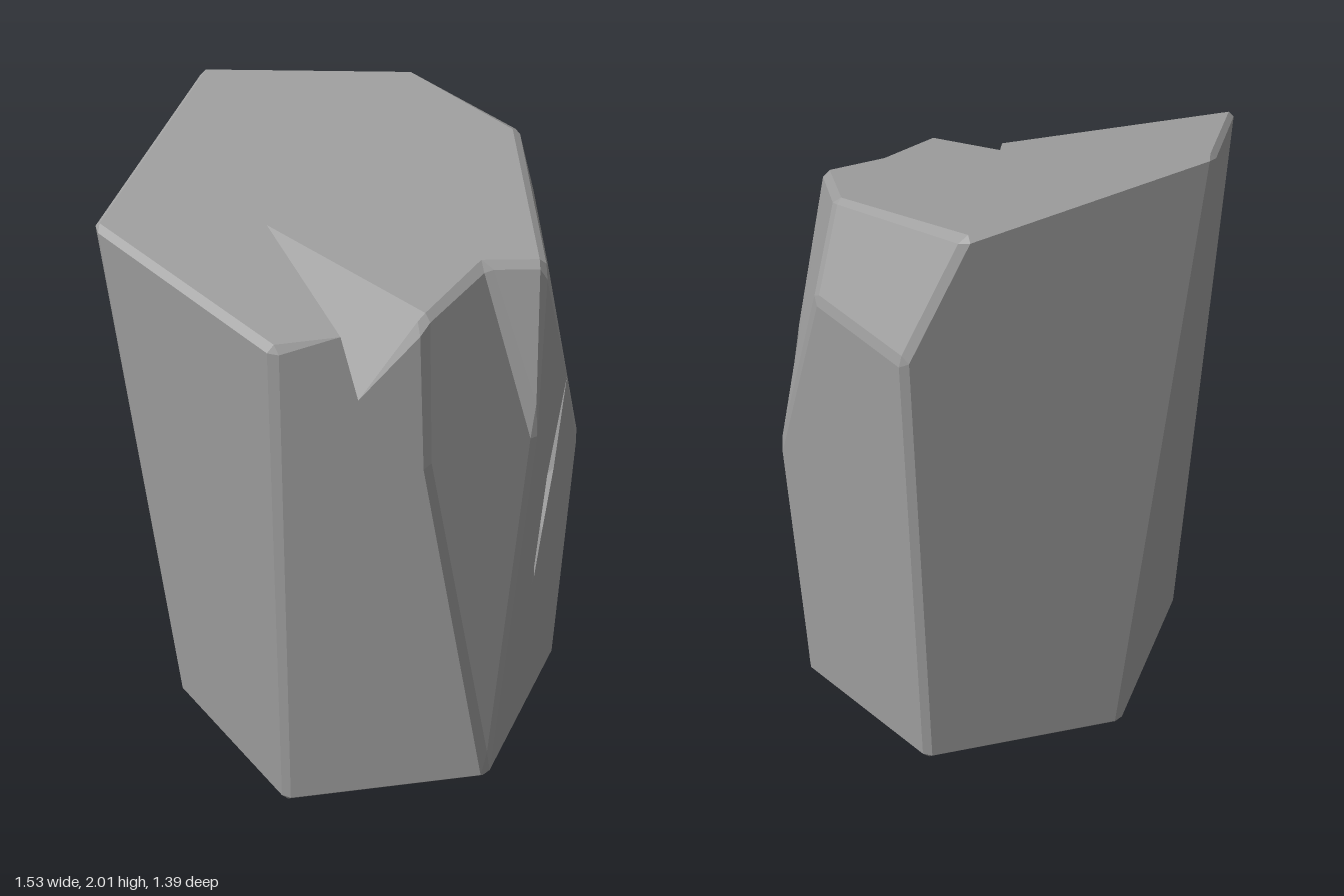
import * as THREE from 'three';

// Corner points of the stone; a fourth number 0 keeps that corner sharp
const corners = {
  // foot
  G: [-0.43, 0, 0.49], F: [0.2, 0, 0.645], K: [0.72, 0.045, 0.17],
  J: [0.61, 0.085, -0.46], I: [0, 0.075, -0.62], H: [-0.54, 0.045, -0.16],
  // slanted top
  A: [-0.775, 1.79, -0.02], B: [-0.46, 1.565, 0.535], D: [-0.19, 2.015, -0.69],
  E: [0.545, 1.93, -0.65], M: [0.655, 1.865, -0.12], N: [0.41, 1.66, 0.49],
  // right shoulder
  Q: [0.77, 1.62, -0.2], R: [0.715, 1.6, -0.61], L: [0.735, 0.9, 0.22],
  // front bulge and chipped top edge
  S: [-0.06, 1.2, 0.687], P: [-0.05, 1.625, 0.64], T: [0.345, 1.17, 0.62], U: [0.23, 1.675, 0.455],
  // wedge split in the top
  C: [-0.25, 1.71, -0.01, 0], a: [-0.27, 1.58, 0.56, 0], W: [-0.235, 1.4, 0.6, 0],
  // slit in the front right face
  1: [0.585, 1.52, 0.22, 0], 2: [0.58, 1.22, 0.37, 0], 3: [0.46, 0.95, 0.48, 0],
  4: [0.43, 0.57, 0.475, 0], 5: [0.465, 0.56, 0.43, 0], 6: [0.475, 0.73, 0.445, 0],
  7: [0.53, 0.93, 0.405, 0], 8: [0.605, 1.2, 0.325, 0], d: [0.475, 0.86, 0.38, 0],
};

// Faces as corner loops, counter-clockwise from outside
const faces = [
  'GHIJKF', 'ABaCPUNMED',                        // underside and top
  'KJRQL', 'QREM', 'JIDER', 'IHAD', 'HGBA',      // right, back and left
  'GFSPWaB', 'FTUPS', 'UTN',                     // front and chip
  'NTFKL82765432', 'N218LQM', '128',             // front right
  '23d', '34d', '45d', '56d', '67d', '72d',      // slit
  'CaW', 'CWP',                                  // split walls
];

const at = (k) => new THREE.Vector3(...corners[k].slice(0, 3));

// Mean normal of a loop, its length twice the area
function loopNormal(loop) {
  const n = new THREE.Vector3();
  loop.forEach((p, i) => n.add(p.clone().sub(loop[0]).cross(
    loop[(i + 1) % loop.length].clone().sub(loop[0]))));
  return n;
}

// Chamfers every edge: inset each face, bridge the edges, cap the corners
function chamferedGeometry(width) {
  const positions = [];
  const normals = [];
  const emit = (loop) => {
    const n = loopNormal(loop);
    if (n.length() < 1e-7) return;
    n.normalize();
    const helper = Math.abs(n.y) < 0.8 ? new THREE.Vector3(0, 1, 0) : new THREE.Vector3(0, 0, 1);
    const u = helper.cross(n).normalize();
    const v = n.clone().cross(u);
    const flat = loop.map((p) => new THREE.Vector2(p.dot(u), p.dot(v)));
    for (const i of THREE.ShapeUtils.triangulateShape(flat, []).flat()) {
      positions.push(...loop[i].toArray());
      normals.push(...n.toArray());
    }
  };

  const halfEdges = new Map();
  const insets = faces.map((face, f) => {
    const normal = loopNormal([...face].map(at)).normalize();
    return [...face].map((k, i) => {
      const next = face[(i + 1) % face.length];
      const prev = face[(i + face.length - 1) % face.length];
      halfEdges.set(k + next, { f, i, prev });
      const p = at(k);
      if (corners[k][3] === 0) return p;
      const e1 = at(next).sub(p);
      const e2 = at(prev).sub(p);
      const reach = 0.2 * Math.min(e1.length(), e2.length());
      e1.normalize();
      e2.normalize();
      const sine = e1.clone().cross(e2).dot(normal);
      const step = Math.min(width / Math.max(Math.abs(sine), 0.05), reach);
      return p.addScaledVector(e1.add(e2), Math.sign(sine) * step);
    });
  });

  insets.forEach(emit);
  for (const [key, h] of halfEdges) {
    const g = halfEdges.get(key[1] + key[0]);
    if (key[0] > key[1]) continue;
    const F = insets[h.f], G = insets[g.f];
    emit([F[(h.i + 1) % F.length], F[h.i], G[(g.i + 1) % G.length], G[g.i]]);
  }
  for (const k of Object.keys(corners).filter((c) => corners[c][3] !== 0)) {
    const start = [...halfEdges.keys()].find((e) => e[0] === k);
    const cap = [];
    let key = start;
    do {
      const h = halfEdges.get(key);
      cap.push(insets[h.f][h.i]);
      key = k + h.prev;
    } while (key !== start);
    emit(cap);
  }

  const geometry = new THREE.BufferGeometry();
  geometry.setAttribute('position', new THREE.Float32BufferAttribute(positions, 3));
  geometry.setAttribute('normal', new THREE.Float32BufferAttribute(normals, 3));
  return geometry;
}

export function createModel() {
  const stone = new THREE.Mesh(
    chamferedGeometry(0.018),
    new THREE.MeshStandardMaterial({ color: 0xa0a0a0 }),
  );
  stone.name = 'rockPillar';
  const group = new THREE.Group();
  group.name = 'rock';
  group.add(stone);
  return group;
}
